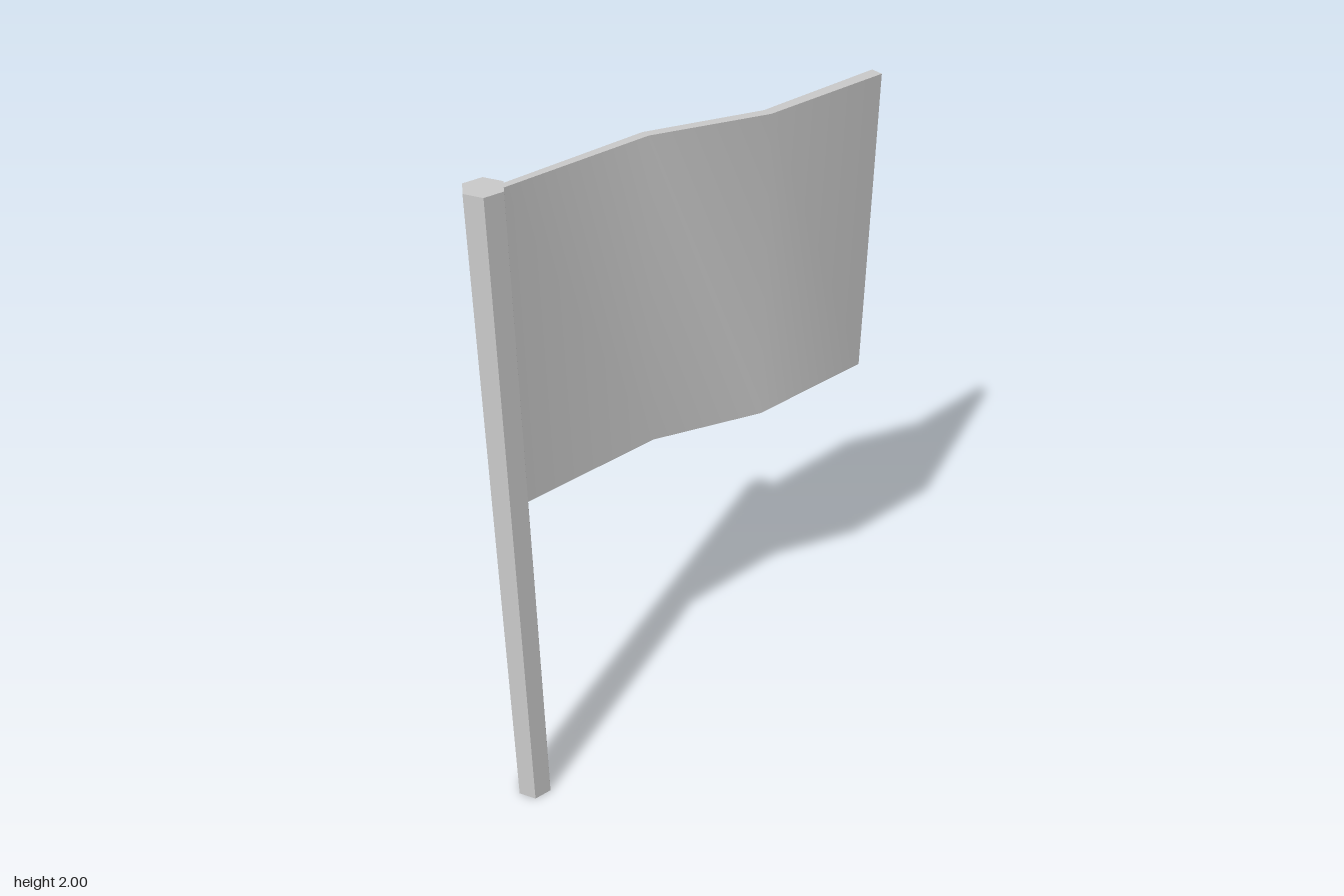
import * as THREE from 'three';
import { toCreasedNormals } from 'three/addons/utils/BufferGeometryUtils.js';

export function createModel() {
  const group = new THREE.Group();
  const material = new THREE.MeshStandardMaterial({ color: 0xcccccc });

  // Six-sided pole with two corners pointing along x
  const poleGeometry = new THREE.CylinderGeometry(0.054, 0.054, 2, 6);
  poleGeometry.rotateY(Math.PI / 2);
  const pole = new THREE.Mesh(toCreasedNormals(poleGeometry, 0.5), material);
  pole.name = 'pole';
  pole.position.set(-0.566, 1, -0.02);
  group.add(pole);

  // Waving cloth, thickening away from the pole: [x, back z, front z]
  const sections = [
    [-0.53, -0.011, 0.009],
    [-0.1, -0.045, -0.019],
    [0.22, 0.033, 0.062],
    [0.618, 0.002, 0.039],
  ];
  const outline = [
    ...sections.map(([x, , front]) => new THREE.Vector2(x, -front)),
    ...sections.map(([x, back]) => new THREE.Vector2(x, -back)).reverse(),
  ];
  const bottom = 1.095;
  const clothGeometry = new THREE.ExtrudeGeometry(new THREE.Shape(outline), {
    depth: 2 - bottom,
    bevelEnabled: false,
  });
  clothGeometry.rotateX(-Math.PI / 2);
  // Gentle bends stay smooth, the rim stays sharp
  const cloth = new THREE.Mesh(toCreasedNormals(clothGeometry, 0.6), material);
  cloth.name = 'flagCloth';
  cloth.position.y = bottom;
  group.add(cloth);

  return group;
}
